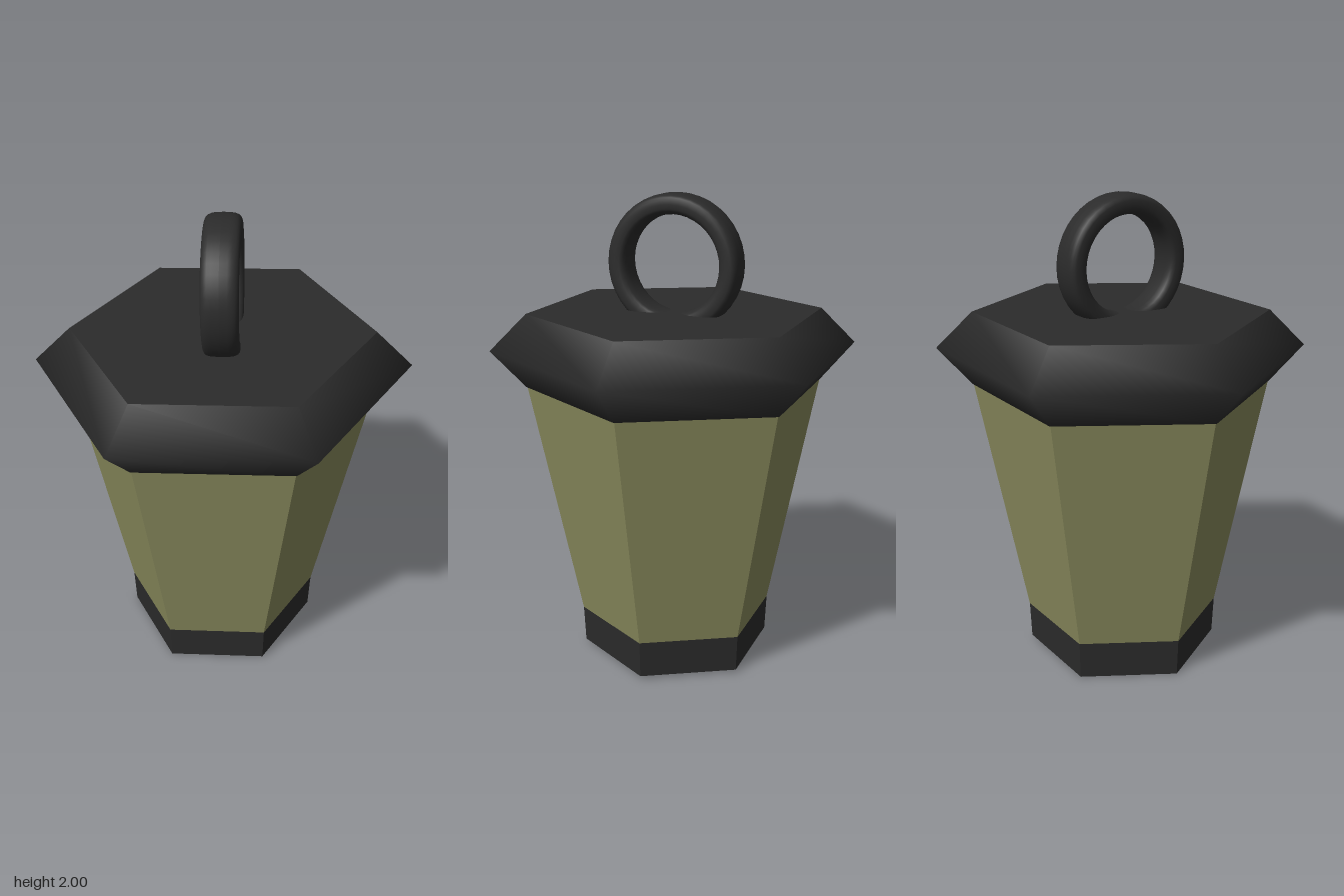
import * as THREE from 'three';

const SIDES = 6;
const dark = new THREE.MeshStandardMaterial({ color: 0x2b2b2b });
const darkFlat = new THREE.MeshStandardMaterial({ color: 0x2b2b2b, flatShading: true });
const olive = new THREE.MeshStandardMaterial({ color: 0x8b8c5e, flatShading: true });

// The hexagonal parts lean: height rises slightly towards +x
const lean = new THREE.Matrix4().set(
  1, 0, 0, 0,
  0.02, 1, 0, 0,
  0, 0, 1, 0,
  0, 0, 0, 1
);

function addPart(group, name, geometry, material) {
  const mesh = new THREE.Mesh(geometry, material);
  mesh.name = name;
  group.add(mesh);
  return mesh;
}

// Hexagonal frustum with corners on the x axis, between two heights
function hexFrustum(rBottom, rTop, y0, y1) {
  return new THREE.CylinderGeometry(rTop, rBottom, y1 - y0, SIDES)
    .rotateY(Math.PI / 2)
    .translate(0, (y0 + y1) / 2, 0)
    .applyMatrix4(lean);
}

export function createModel() {
  const group = new THREE.Group();
  group.name = 'lantern';

  addPart(group, 'base', hexFrustum(0.413, 0.42, 0.01, 0.172), darkFlat);
  addPart(group, 'glassBody', hexFrustum(0.42, 0.626, 0.172, 1.212), olive);

  // Lid: softly shaded rim around a flat top
  const rim = [[0.63, 1.208], [0.773, 1.365], [0.62, 1.517]].map(([x, y]) => new THREE.Vector2(x, y));
  addPart(group, 'lidRim', new THREE.LatheGeometry(rim, SIDES, Math.PI / 2).applyMatrix4(lean), dark);
  const top = new THREE.CircleGeometry(0.62, SIDES)
    .rotateX(-Math.PI / 2)
    .translate(0, 1.517, 0)
    .applyMatrix4(lean);
  addPart(group, 'lidTop', top, darkFlat);

  // Hanging ring: a wide band with rounded edges, swept around the x axis
  const section = [];
  const steps = 24;
  const round = (v) => Math.sign(v) * Math.pow(Math.abs(v), 0.65);
  for (let i = 0; i <= steps; i++) {
    const a = (i / steps) * Math.PI * 2;
    section.push(new THREE.Vector2(0.2425 + 0.0425 * round(Math.cos(a)), 0.073 * round(Math.sin(a))));
  }
  const ring = addPart(group, 'hangingRing', new THREE.LatheGeometry(section, 40).rotateZ(-Math.PI / 2), dark);
  ring.position.set(0.005, 1.715, 0);
  ring.rotation.z = 0.018;

  return group;
}
